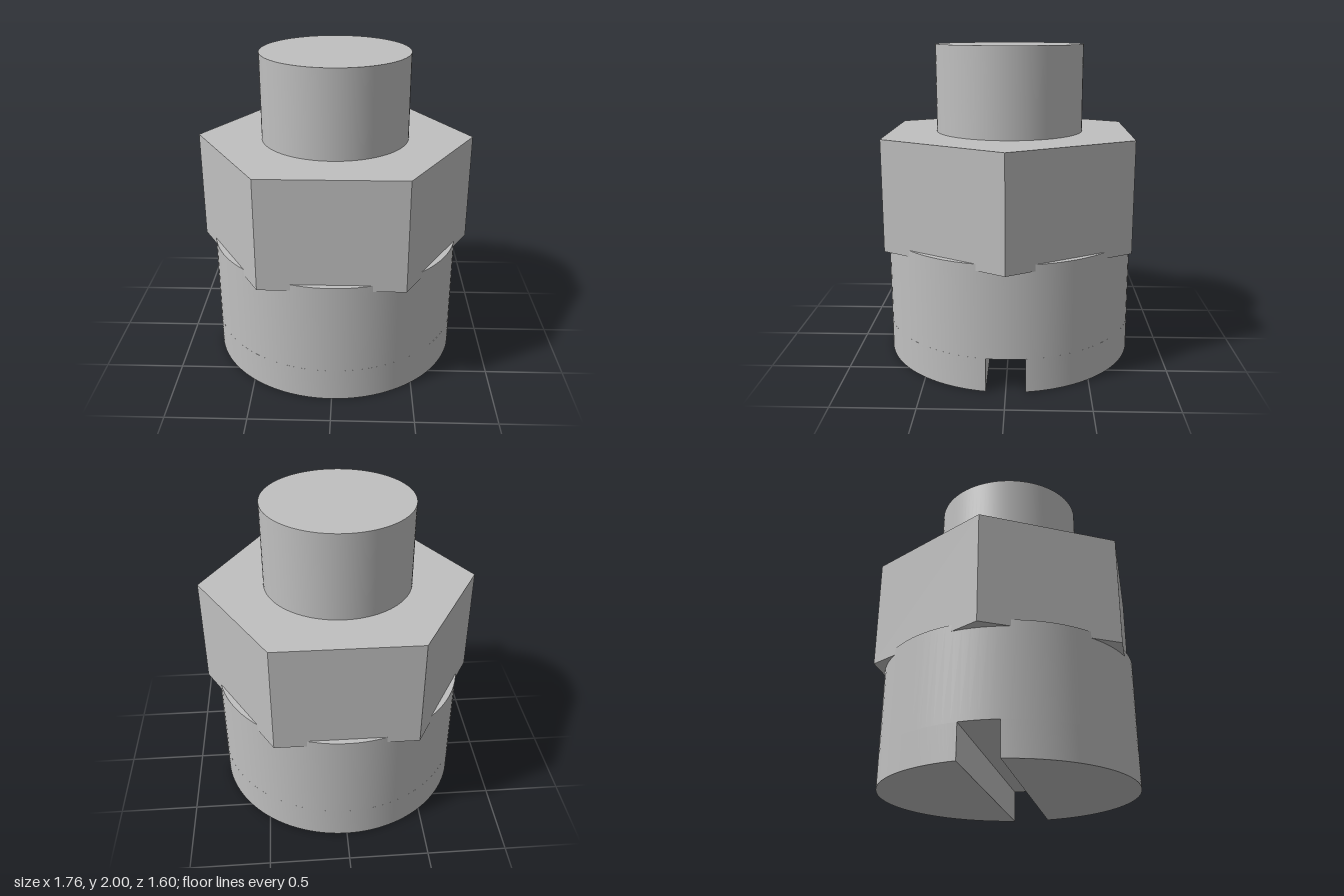
import * as THREE from 'three';
import { toCreasedNormals } from 'three/addons/utils/BufferGeometryUtils.js';

const SIDES = 96;
const BASE_R = 0.8, BASE_TOP = 0.79;
const SLOT_HALF = 0.118, SLOT_TOP = 0.21;
const HEX_R = 0.88, HEX_BOTTOM = 0.75, HEX_TOP = 1.45;
const STUD_R = 0.47, TOP = 2;

export function createModel() {
  const model = new THREE.Group();
  model.name = 'slottedHexFitting';

  const steel = new THREE.MeshStandardMaterial({ color: 0xc0c0c0 });
  steel.name = 'steel grey';

  const add = (name, geometry) => {
    const mesh = new THREE.Mesh(geometry, steel);
    mesh.name = name;
    model.add(mesh);
    return mesh;
  };

  // Upright prism or cylinder between two heights
  const column = (radius, bottom, top, sides) =>
    new THREE.CylinderGeometry(radius, radius, top - bottom, sides)
      .translate(0, (bottom + top) / 2, 0);

  // Round base above the slot; its underside is the slot roof
  add('baseDrum', column(BASE_R, SLOT_TOP, BASE_TOP, SIDES));

  // Two half-round feet either side of the slot, which runs along x
  const a = Math.asin(SLOT_HALF / BASE_R);
  const segment = new THREE.Shape();
  segment.absarc(0, 0, BASE_R, a, Math.PI - a, false);
  segment.closePath();
  const foot = toCreasedNormals(
    new THREE.ExtrudeGeometry(segment, {
      depth: SLOT_TOP, bevelEnabled: false, curveSegments: SIDES / 2,
    }).rotateX(-Math.PI / 2), 0.5);
  add('backFoot', foot);
  add('frontFoot', foot).rotation.y = Math.PI;

  // Hexagonal nut with corners on the x axis
  const hex = column(HEX_R, HEX_BOTTOM, HEX_TOP, 6).rotateY(Math.PI / 6).toNonIndexed();
  hex.computeVertexNormals();
  add('hexNut', hex);

  // Round stud on top
  add('topStud', column(STUD_R, HEX_TOP, TOP, SIDES));

  return model;
}
